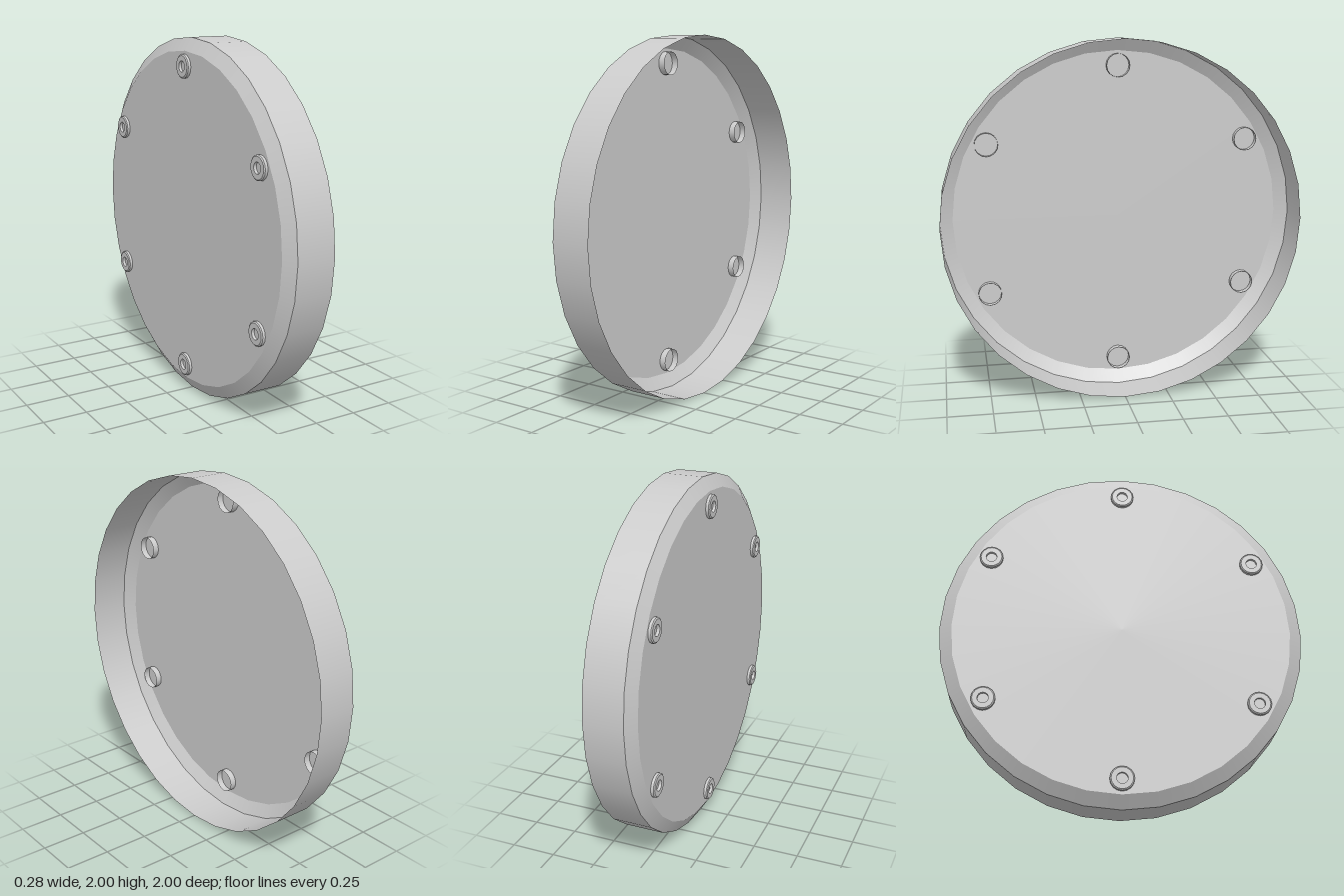
import * as THREE from 'three';

const material = new THREE.MeshStandardMaterial({ color: 0xcccccc, side: THREE.DoubleSide });

// Revolves a profile of [radius, x] points about the x axis, one mesh per
// segment so the edges between bands stay sharp.
function turned(name, profile, sides) {
  const group = new THREE.Group();
  group.name = name;
  for (let i = 0; i < profile.length - 1; i++) {
    const points = [profile[i], profile[i + 1]].map(([r, x]) => new THREE.Vector2(r, x));
    const band = new THREE.Mesh(new THREE.LatheGeometry(points, sides), material);
    band.name = `${name}Band${i + 1}`;
    band.rotation.z = -Math.PI / 2;
    group.add(band);
  }
  return group;
}

export function createModel() {
  const model = new THREE.Group();
  model.name = 'roundCover';

  // Shallow dish: flat plate, chamfer and rim, open towards +x
  const dish = turned('dish', [[0, -0.122], [0.93, -0.122], [1, -0.08], [1, 0.14]], 32);
  dish.position.y = 1;
  model.add(dish);

  // Six bolts through the plate: socketed head outside, open shank inside
  const boltProfile = [[0, -0.126], [0.03, -0.126], [0.03, -0.142], [0.058, -0.142],
    [0.065, -0.137], [0.065, -0.085]];
  for (let i = 0; i < 6; i++) {
    const angle = (i * Math.PI) / 3;
    const bolt = turned('bolt', boltProfile, 16);
    bolt.position.set(0, 1 + 0.848 * Math.cos(angle), 0.848 * Math.sin(angle));
    model.add(bolt);
  }
  return model;
}
